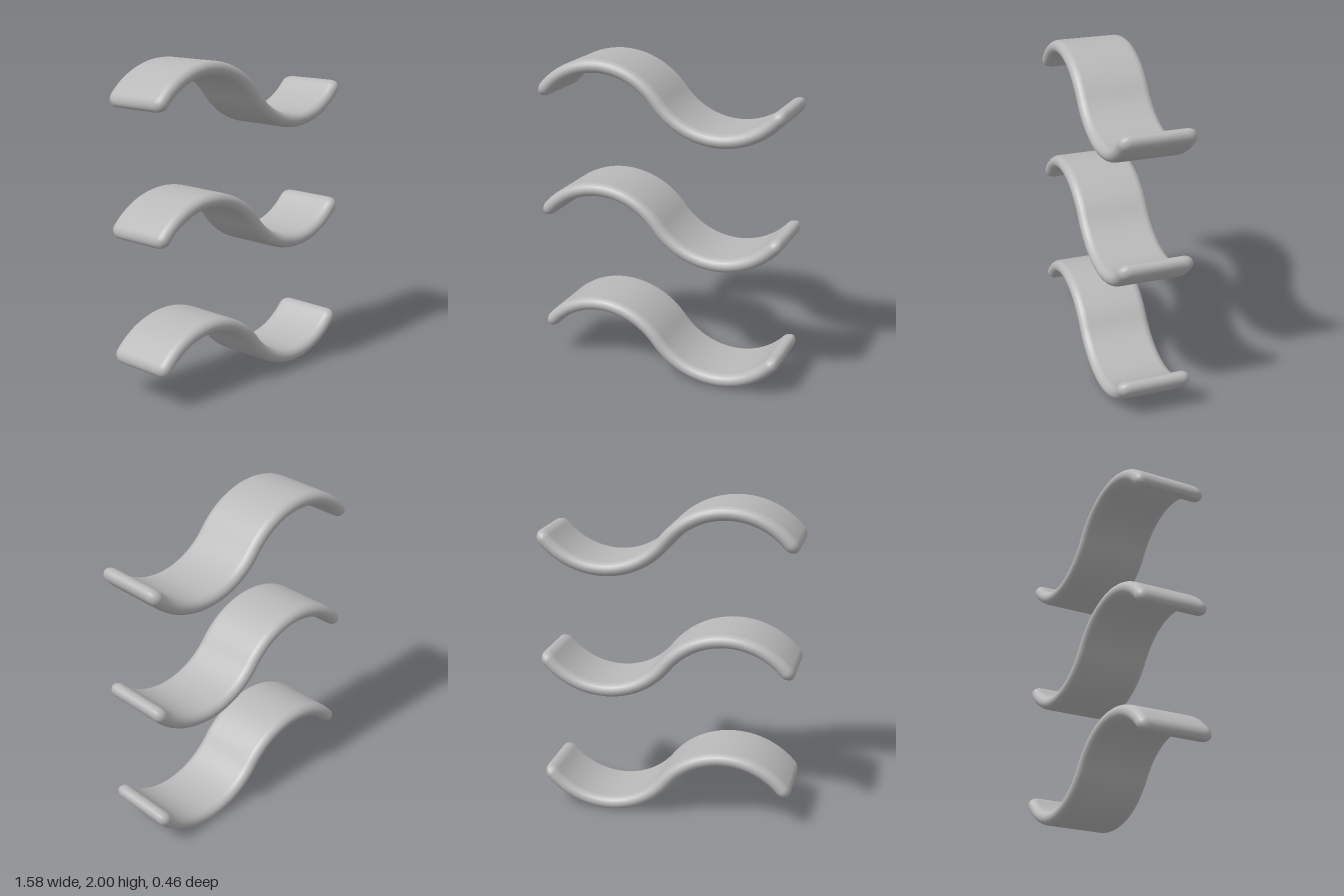
import * as THREE from 'three';

const HALF_WIDTH = 0.228, HALF_THICK = 0.043, EDGE = 0.05, CAP = 0.06;
const CREST = 0.417, TROUGH = 0.043, REACH = 0.38; // centreline heights and half span of one arc
const SAG = (CREST - TROUGH) / 2;
const R = (REACH * REACH + SAG * SAG) / (2 * SAG);
const HALF_ANGLE = Math.asin(REACH / R);
const HALF_LENGTH = R * (HALF_ANGLE + 0.975);

// Centreline of two joined arcs: point and upward normal at arc length s from the middle
function centreline(s) {
  const side = s < 0 ? -1 : 1;
  const a = s / R - side * HALF_ANGLE;
  return {
    x: side * REACH + R * Math.sin(a),
    y: side < 0 ? CREST - R * (1 - Math.cos(a)) : TROUGH + R * (1 - Math.cos(a)),
    nx: -side * Math.sin(a),
    ny: Math.cos(a),
  };
}

// Stations along the ribbon: rounded cap, even body, rounded cap
function stations() {
  const list = [], cap = 8, body = 56, inner = HALF_LENGTH - CAP;
  const capAt = (side, i) => {
    const a = (i / cap) * Math.PI / 2;
    return { s: side * (inner + CAP * Math.sin(a)), k: i === cap ? 0 : Math.cos(a) };
  };
  for (let i = cap; i > 0; i--) list.push(capAt(-1, i));
  for (let i = 0; i <= body; i++) list.push({ s: inner * (2 * i / body - 1), k: 1 });
  for (let i = 1; i <= cap; i++) list.push(capAt(1, i));
  return list;
}

// Flat section with half-round long edges, swept along the centreline
function ribbonGeometry() {
  const pos = [], index = [], arc = 10, ring = 2 * (arc + 1);
  const rows = stations();
  for (const { s, k } of rows) {
    const c = centreline(s);
    const w = HALF_WIDTH - CAP * (1 - k);
    for (let j = 0; j < ring; j++) {
      const side = j <= arc ? 1 : -1;
      const a = -Math.PI / 2 + (j % (arc + 1)) / arc * Math.PI;
      const t = side * HALF_THICK * k * Math.sin(a);
      const z = side * (w - EDGE + EDGE * Math.cos(a));
      pos.push(c.x + c.nx * t, c.y + c.ny * t, z);
    }
  }
  for (let i = 0; i < rows.length - 1; i++) {
    for (let j = 0; j < ring; j++) {
      const a = i * ring + j, b = i * ring + (j + 1) % ring;
      index.push(a, a + ring, b, b, a + ring, b + ring);
    }
  }
  const g = new THREE.BufferGeometry();
  g.setAttribute('position', new THREE.Float32BufferAttribute(pos, 3));
  g.setIndex(index);
  g.computeVertexNormals();
  return g;
}

export function createModel() {
  const model = new THREE.Group();
  model.name = 'waves';
  const grey = new THREE.MeshStandardMaterial({ color: 0xb8b8b8 });
  grey.name = 'grey';
  const geometry = ribbonGeometry();
  // Three equal ribbons stacked
  ['lowerWave', 'middleWave', 'upperWave'].forEach((name, i) => {
    const wave = new THREE.Mesh(geometry, grey);
    wave.name = name;
    wave.position.y = i * 0.77;
    model.add(wave);
  });
  return model;
}
